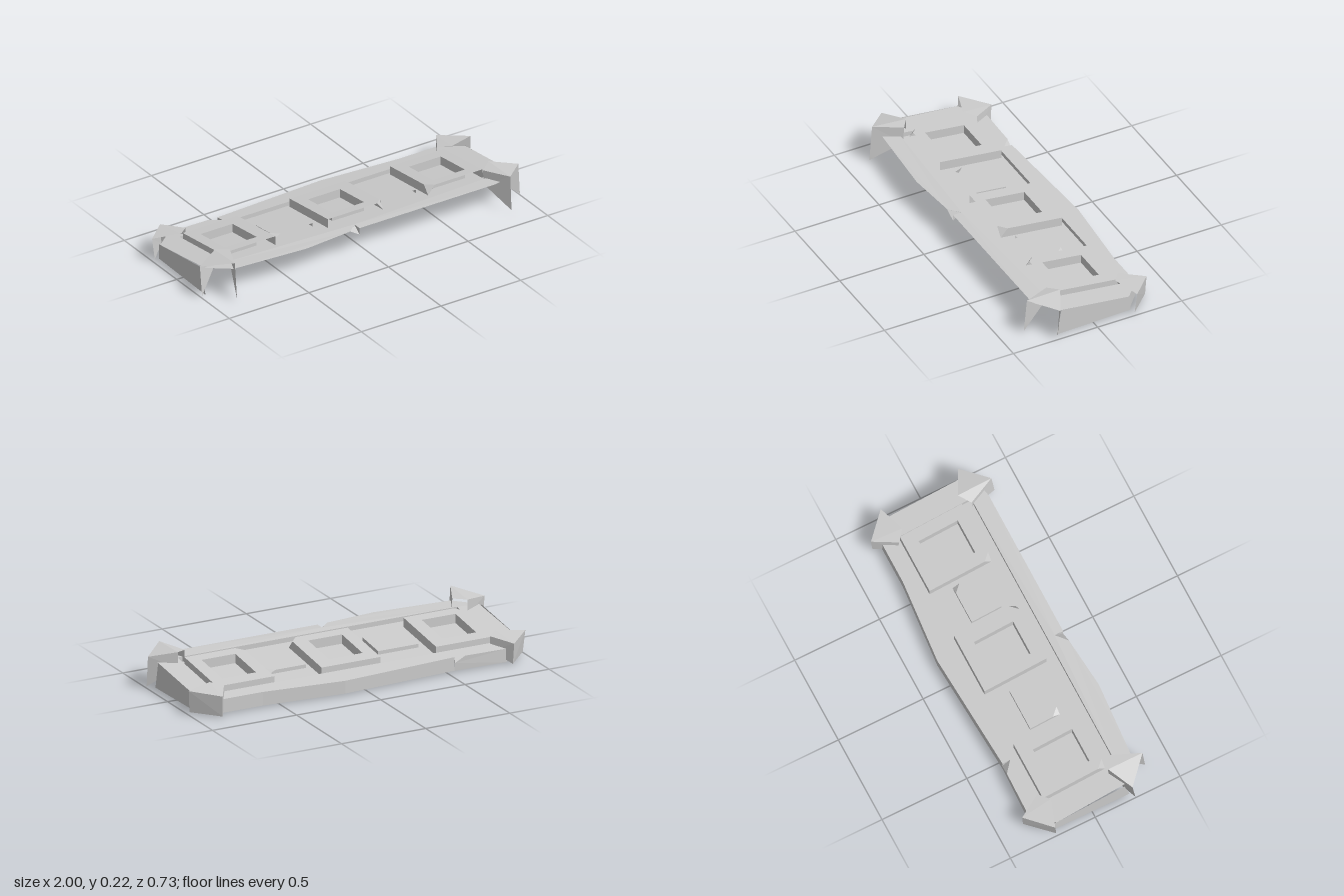
import * as THREE from 'three';

const material = new THREE.MeshStandardMaterial({
  color: 0xcccccc, flatShading: true, side: THREE.DoubleSide,
});

// Heights of the sloping layers, higher towards the front
const bedY = (z) => 0.102 + 0.12 * z;
const rimY = (z) => Math.min(0.127 + 0.125 * z, 0.158);
const frameY = (z) => 0.153 + 0.128 * z;
const panelY = (z) => bedY(z) + 0.02;

function addMesh(parent, name, geometry) {
  geometry.computeVertexNormals();
  const mesh = new THREE.Mesh(geometry, material);
  mesh.name = name;
  parent.add(mesh);
}

// Flat faces given as loops of three or four corners
function faces(list) {
  const pos = [];
  for (const f of list) {
    for (let i = 1; i < f.length - 1; i++) pos.push(...f[0], ...f[i], ...f[i + 1]);
  }
  const g = new THREE.BufferGeometry();
  g.setAttribute('position', new THREE.Float32BufferAttribute(pos, 3));
  return g;
}

// Horizontal sheet from [x, z] outlines, lifted by a height rule
function sheet(outline, height, hole) {
  const toV = ([x, z]) => new THREE.Vector2(x, -z);
  const shape = new THREE.Shape(outline.map(toV));
  if (hole) shape.holes.push(new THREE.Path(hole.map(toV)));
  const g = new THREE.ShapeGeometry(shape).rotateX(-Math.PI / 2).toNonIndexed();
  const p = g.attributes.position;
  for (let i = 0; i < p.count; i++) p.setY(i, height(p.getZ(i)));
  return g;
}

// Corners of a rectangle: back left, front left, front right, back right in plan
const rect = (x0, x1, z0, z1) => [[x0, z0], [x0, z1], [x1, z1], [x1, z0]];

// Wall between two plan points, spanning two height rules
const wall = (a, b, top, low) => [
  [a[0], top(a[1]), a[1]], [a[0], low(a[1]), a[1]],
  [b[0], low(b[1]), b[1]], [b[0], top(b[1]), b[1]],
];

// Raised block with one chipped corner, an open front and an optional square well
function block(parent, name, corners, top, low, chip, hole) {
  const group = new THREE.Group();
  group.name = name;
  const size = 0.04;
  const toward = (a, b) => {
    const d = Math.hypot(b[0] - a[0], b[1] - a[1]);
    return [a[0] + (b[0] - a[0]) * size / d, a[1] + (b[1] - a[1]) * size / d];
  };
  const outline = [];
  const list = [];
  const n = corners.length;
  const ends = corners.map((c, i) => (i === chip
    ? [toward(c, corners[(i + n - 1) % n]), toward(c, corners[(i + 1) % n])] : [c, c]));
  corners.forEach((c, i) => {
    const [p, q] = ends[i];
    outline.push(p);
    const at = (v, h) => [v[0], h(v[1]), v[1]];
    if (i === chip) {
      outline.push(q);
      list.push([at(p, top), at(c, bedY), at(q, top)]);
    }
    const j = (i + 1) % n;
    if (i === 1) return;
    list.push([at(q, top), at(c, bedY), at(corners[j], bedY), at(ends[j][0], top)]);
    if (low !== bedY) list.push(wall(c, corners[j], bedY, low));
  });
  if (hole) hole.forEach((c, i) => list.push(wall(hole[(i + 1) % 4], c, top, bedY)));
  addMesh(group, name + 'Top', sheet(outline, top, hole));
  addMesh(group, name + 'Sides', faces(list));
  parent.add(group);
}

export function createModel() {
  const model = new THREE.Group();
  model.name = 'ornamentalPlaque';

  // Sunken bed and surrounding rim
  const inner = rect(-0.83, 0.83, -0.23, 0.21);
  const front = [[-0.955, 0.2], [-0.84, 0.3], [-0.4, 0.33], [-0.11, 0.303], [-0.05, 0.25],
    [-0.05, 0.3], [0.8, 0.3], [0.85, 0.29], [0.955, 0.2]];
  const back = [[0.955, -0.21], [0.84, -0.31], [0.6, -0.31], [0.13, -0.35], [-0.54, -0.31],
    [-0.54, -0.265], [-0.6, -0.315], [-0.84, -0.32], [-0.965, -0.21]];
  addMesh(model, 'bed', sheet(inner, bedY));
  addMesh(model, 'rim', sheet([...front, ...back], rimY, inner));
  addMesh(model, 'rimStep', faces(inner.map((c, i) => wall(inner[(i + 1) % 4], c, rimY, bedY))));

  // Chips broken out of the rim edges
  addMesh(model, 'rimChips', faces([
    [[-0.11, 0.158, 0.303], [-0.05, 0.12, 0.3], [-0.05, 0.157, 0.25]],
    [[-0.05, 0.157, 0.25], [-0.05, 0.12, 0.3], [-0.05, 0.158, 0.3]],
    [[-0.6, rimY(-0.315), -0.315], [-0.54, rimY(-0.265), -0.265], [-0.54, 0.055, -0.312]],
    [[-0.54, rimY(-0.265), -0.265], [-0.54, rimY(-0.31), -0.31], [-0.54, 0.055, -0.312]],
  ]));

  // Back and end walls; the front stays open
  const floorY = () => 0.012;
  const backEdge = back.filter((p) => p[1] !== -0.265 && p[0] !== -0.6);
  const walls = [];
  for (let i = 0; i < backEdge.length - 1; i++) {
    const a = backEdge[i], b = backEdge[i + 1];
    if (a[0] === -0.54) {
      // Leave the chipped bite out of the top edge
      walls.push([[-0.54, 0.055, -0.312], [-0.54, 0.012, -0.31], [b[0], 0.012, b[1]],
        [b[0], rimY(b[1]), b[1]]]);
      walls.push([[-0.54, 0.055, -0.312], [b[0], rimY(b[1]), b[1]], [-0.6, rimY(-0.315), -0.315]]);
    } else walls.push(wall(b, a, rimY, floorY));
  }
  addMesh(model, 'backWall', faces(walls));
  for (const s of [1, -1]) {
    const x = s > 0 ? 0.955 : 0.965;
    addMesh(model, s > 0 ? 'leftEndWall' : 'rightEndWall', faces([[
      [s * x, 0.15, 0.19], [s * x, 0.003, 0.22], [s * x, 0.013, -0.22], [s * x, 0.1, -0.22],
    ]]));
  }

  // Three square frames with sunken centres
  for (const [x0, x1, chip] of [[-0.82, -0.48, 1], [-0.15, 0.2, 2], [0.48, 0.82, 1]]) {
    const c = (x0 + x1) / 2 - (x0 < 0 ? 0.008 : 0);
    block(model, 'squareFrame', rect(x0, x1, -0.215, 0.15), frameY, bedY, chip,
      rect(c - 0.1, c + 0.1, -0.14, 0.09));
  }

  // Two small panels between the frames, their sides reaching below the bed
  const panelLow = (z) => bedY(z) - 0.03;
  block(model, 'smallPanel', rect(-0.44, -0.2, -0.095, 0.08), panelY, panelLow, 1);
  block(model, 'smallPanel', rect(0.23, 0.45, -0.095, 0.08), panelY, panelLow, 3);

  // Folded corner caps: front pair ends in downward points, back pair is closed
  for (const s of [1, -1]) {
    const m = (x, y, z) => [s * x, y, z];
    const lift = s > 0 ? 0 : 0.015;
    const a = m(1, 0.183, 0.22), b = m(0.86, 0.208, 0.148);
    const c = m(0.795, 0.195 + lift, 0.195), d = m(0.865, 0.207 + lift, 0.348);
    addMesh(model, 'frontCornerCap', faces([
      [a, b, d], [b, c, d],
      [a, m(0.998, 0.012, 0.238), m(0.86, 0.12, 0.15), b],
      [d, c, m(0.795, 0.115, 0.2), m(0.862, 0.014, 0.365)],
    ]));
    const e = m(1, 0.137, -0.235), f = m(0.866, 0.124, -0.362);
    const g = m(0.79, 0.138, -0.235), h = m(0.85, 0.146, -0.185);
    const eLow = m(0.99, 0.015, -0.225), fLow = m(0.862, 0.01, -0.355);
    addMesh(model, 'backCornerCap', faces([
      [e, f, h], [h, f, g],
      [e, eLow, fLow, f],
      [f, fLow, m(0.79, 0.06, -0.24), g],
    ]));
  }
  return model;
}
